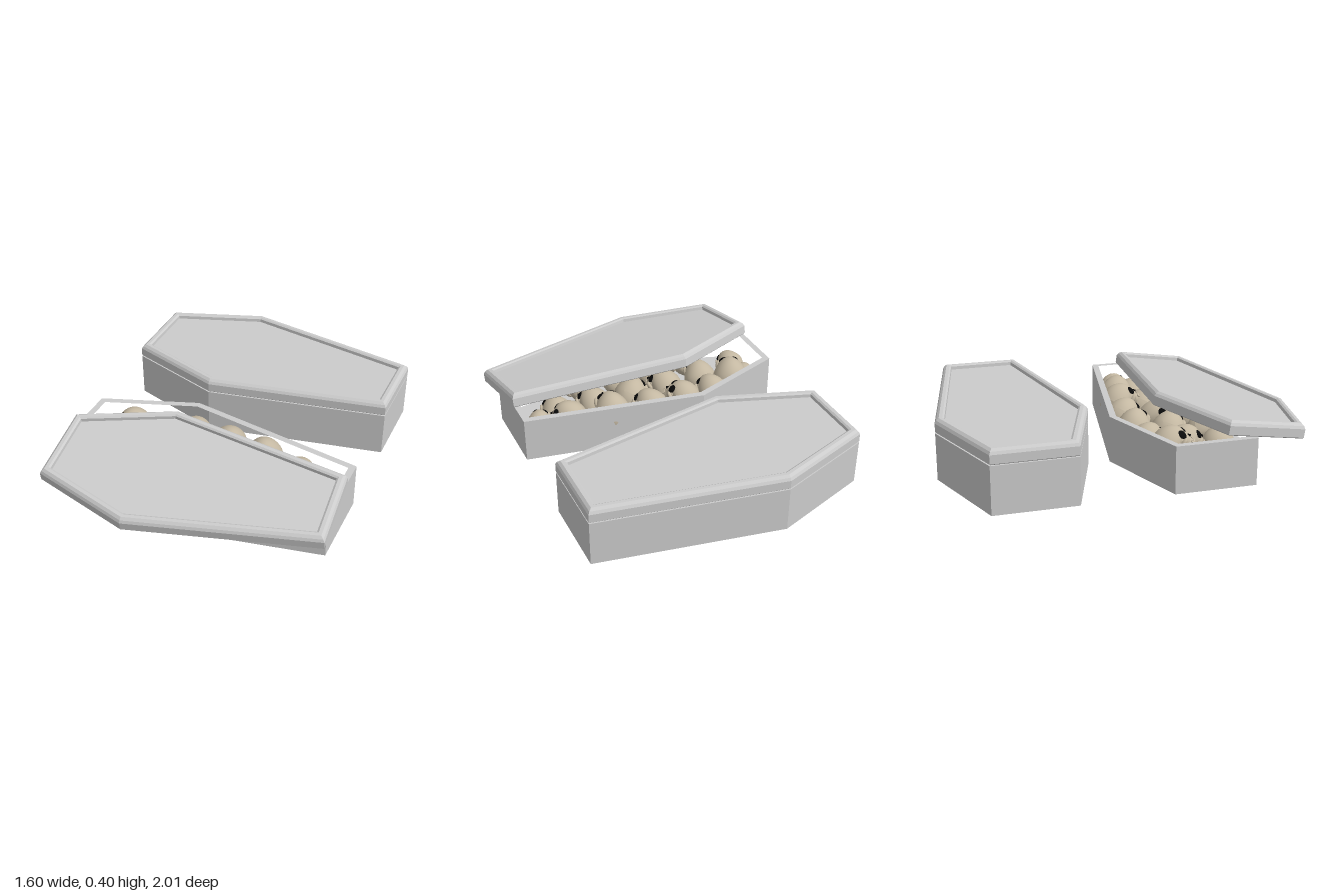
import * as THREE from 'three';

const stone = new THREE.MeshStandardMaterial({ color: 0xcccccc, flatShading: true });
const bone = new THREE.MeshStandardMaterial({ color: 0xc4b8a2 });
const dark = new THREE.MeshStandardMaterial({ color: 0x0a0a0a });

// Six-sided coffin outline as [x, z], moved inwards by d with an even margin
function outline(d) {
  const side = [
    [-0.8 + d, 0.225 - 0.711 * d],
    [-0.26 + 0.08 * d, 0.413 - 1.031 * d],
    [0.76 - d, 0.225 - 0.833 * d],
  ];
  return [...side, ...side.map(([x, z]) => [x, -z]).reverse()];
}
const points = (d) => outline(d).map(([x, z]) => new THREE.Vector2(x, z));

// Solid from stacked outlines [inset, y], closed at both ends
function stackedSolid(profile) {
  const pos = [], index = [], n = 6;
  for (const [d, y] of profile) for (const [x, z] of outline(d)) pos.push(x, y, z);
  for (let r = 0; r < profile.length - 1; r++) {
    for (let i = 0; i < n; i++) {
      const a = r * n + i, b = r * n + (i + 1) % n;
      index.push(a, b, b + n, a, b + n, a + n);
    }
  }
  const top = (profile.length - 1) * n;
  for (let i = 1; i < n - 1; i++) {
    index.push(0, i + 1, i);
    index.push(top, top + i, top + i + 1);
  }
  const g = new THREE.BufferGeometry();
  g.setAttribute('position', new THREE.Float32BufferAttribute(pos, 3));
  g.setIndex(index);
  const flat = g.toNonIndexed();
  flat.computeVertexNormals();
  return flat;
}

function mesh(name, geometry, material, parent) {
  const m = new THREE.Mesh(geometry, material);
  m.name = name;
  parent.add(m);
  return m;
}

// Hollow box: walls with a floor inside
function makeBox(name, z) {
  const box = new THREE.Group();
  box.name = name;
  const shape = new THREE.Shape(points(0));
  shape.holes.push(new THREE.Path(points(0.036)));
  const walls = new THREE.ExtrudeGeometry(shape, { depth: 0.26, bevelEnabled: false });
  walls.rotateX(-Math.PI / 2);
  mesh('walls', walls, stone, box);
  mesh('floor', stackedSolid([[0.001, 0], [0.001, 0.03]]), stone, box);
  box.position.set(0, 0.02, z);
  return box;
}

// Lid with a rounded raised rim around a sunken panel
const lidGeometry = stackedSolid([
  [0.005, 0], [0, 0.005], [0, 0.052], [0.008, 0.067], [0.022, 0.079],
  [0.04, 0.079], [0.05, 0.072], [0.052, 0.054],
]);
function makeLid(name) {
  const lid = new THREE.Group();
  lid.name = name;
  mesh('lidSlab', lidGeometry, stone, lid);
  return lid;
}

// Skull parts, face towards +z, about one unit in radius
const cranium = new THREE.SphereGeometry(1, 28, 20);
const p = cranium.attributes.position;
for (let i = 0; i < p.count; i++) {
  const x = p.getX(i), y = p.getY(i), z = p.getZ(i);
  const narrow = 1 - 0.22 * Math.max(0, z) - 0.15 * Math.max(0, -y);
  p.setXYZ(i, x * 0.92 * narrow, y * (y < 0 ? 0.68 : 0.86), z * 1.02);
}
cranium.computeVertexNormals();
const ball = new THREE.SphereGeometry(1, 16, 12);
const jawGeometry = new THREE.CylinderGeometry(0.4, 0.3, 0.42, 14);
const noseGeometry = new THREE.ConeGeometry(0.13, 0.26, 3);
const toothGeometry = new THREE.BoxGeometry(0.075, 0.14, 0.06);

function makeSkull(x, y, z, pitch, yaw, size) {
  const skull = new THREE.Group();
  skull.name = 'skull';
  mesh('cranium', cranium, bone, skull);
  const face = mesh('face', ball, bone, skull);
  face.position.set(0, -0.34, 0.52);
  face.scale.set(0.58, 0.42, 0.42);
  const jaw = mesh('upperJaw', jawGeometry, bone, skull);
  jaw.position.set(0, -0.62, 0.52);
  for (const s of [-1, 1]) {
    const cheek = mesh('cheekbone', ball, bone, skull);
    cheek.position.set(s * 0.48, -0.42, 0.52);
    cheek.scale.set(0.18, 0.13, 0.32);
    const socket = mesh('eyeSocket', ball, dark, skull);
    socket.position.set(s * 0.29, -0.18, 0.84);
    socket.rotation.set(0.1, s * 0.35, s * 0.3);
    socket.scale.set(0.22, 0.25, 0.13);
  }
  const nose = mesh('noseHole', noseGeometry, dark, skull);
  nose.position.set(0, -0.47, 0.92);
  nose.scale.z = 0.5;
  for (let i = -3; i <= 3; i++) {
    const a = i * 0.22;
    const tooth = mesh('tooth', toothGeometry, bone, skull);
    tooth.position.set(Math.sin(a) * 0.34, -0.8, 0.52 + Math.cos(a) * 0.32);
    tooth.rotation.y = a;
  }
  skull.position.set(x, y, z);
  skull.rotation.set(pitch, yaw, 0, 'YXZ');
  skull.scale.setScalar(size);
  return skull;
}

function makeSkullHeap() {
  const heap = new THREE.Group();
  heap.name = 'skulls';

  // Top row along the opening, facing up: x, z, yaw, size
  const topRow = [
    [-0.56, 0.18, -0.3, 0.115],
    [-0.4, 0.11, 0.4, 0.1],
    [-0.21, 0.1, 0.9, 0.108],
    [0, 0.1, 0.5, 0.108],
    [0.23, 0.14, 0.1, 0.115],
    [0.46, 0.2, 1.1, 0.105],
    [0.64, 0.23, -0.5, 0.085],
  ];
  topRow.forEach(([x, z, yaw, size], i) => {
    heap.add(makeSkull(x, 0.08 + size, z, i % 2 ? -0.75 : -1.05, yaw, size));
  });

  // Head end corner
  for (const z of [0.22, 0.38]) heap.add(makeSkull(-0.67, 0.14, z, -0.5, z * 6 - 2, 0.088));

  // Upright skulls resting on the floor
  for (const x of [-0.38, 0.26, 0.4]) heap.add(makeSkull(x, 0.1, 0.15 + 0.1 * Math.max(0, x), 0, 0.2, 0.109));

  // Rows further back under the lid
  for (let i = 0; i < 5; i++) {
    const x = -0.42 + i * 0.23;
    heap.add(makeSkull(x, 0.15, 0.31, -0.8, Math.sin(i * 2.3), 0.108));
    if (i < 4) heap.add(makeSkull(x, 0.13, 0.52, -0.5, Math.cos(i * 2.3), 0.1));
  }
  return heap;
}

export function createModel() {
  const model = new THREE.Group();
  model.name = 'coffins';

  // Closed coffin at the back
  model.add(makeBox('closedBox', -0.59));
  const closedLid = makeLid('closedLid');
  closedLid.position.set(0, 0.283, -0.59);
  model.add(closedLid);

  // Open coffin at the front, its lid slid off and tilted forwards
  model.add(makeBox('openBox', 0.358));
  const openLid = makeLid('openLid');
  openLid.position.set(0.024, 0.255, 0.574);
  openLid.rotation.set(0.165, 0.08, -0.03, 'XZY');
  model.add(openLid);

  model.add(makeSkullHeap());
  return model;
}
